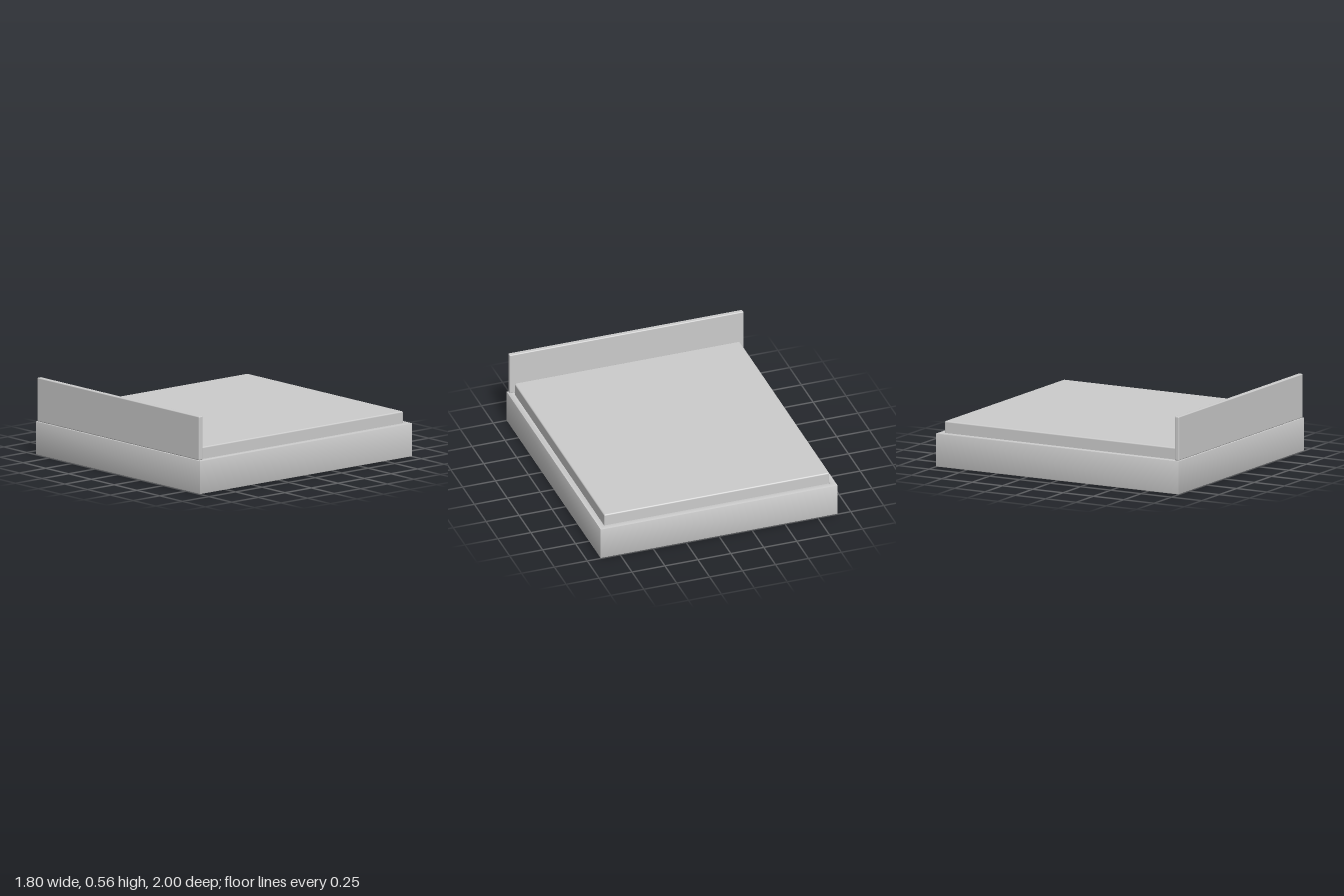
import * as THREE from 'three';
import { RoundedBoxGeometry } from 'three/addons/geometries/RoundedBoxGeometry.js';
import { toCreasedNormals } from 'three/addons/utils/BufferGeometryUtils.js';

const material = new THREE.MeshStandardMaterial({ color: 0xcccccc });

function rectangle(Path, halfW, halfD) {
  return new Path([
    new THREE.Vector2(-halfW, -halfD),
    new THREE.Vector2(halfW, -halfD),
    new THREE.Vector2(halfW, halfD),
    new THREE.Vector2(-halfW, halfD),
  ]);
}

// Rounded box given by its lower and upper corners
function roundedPart(name, min, max, radius) {
  const size = max.map((v, i) => v - min[i]);
  const mesh = new THREE.Mesh(new RoundedBoxGeometry(...size, 3, radius), material);
  mesh.position.set(...max.map((v, i) => (v + min[i]) / 2));
  mesh.name = name;
  return mesh;
}

export function createModel() {
  const group = new THREE.Group();
  group.name = 'bed';

  // Hollow rectangular frame with softened edges
  const height = 0.245, bevel = 0.006, wall = 0.045;
  const outline = rectangle(THREE.Shape, 0.9, 1);
  outline.holes.push(rectangle(THREE.Path, 0.9 - wall, 1 - wall));
  const frameGeometry = new THREE.ExtrudeGeometry(outline, {
    depth: height - 2 * bevel,
    bevelThickness: bevel,
    bevelSize: bevel,
    bevelOffset: -bevel,
    bevelSegments: 2,
  });
  frameGeometry.translate(0, 0, bevel).rotateX(-Math.PI / 2);
  const frame = new THREE.Mesh(toCreasedNormals(frameGeometry, 0.6), material);
  frame.name = 'frame';
  group.add(frame);

  // Mattress sunk into the frame
  group.add(roundedPart('mattress', [-0.855, 0.115, -0.956], [0.855, 0.33, 0.956], 0.01));

  // Headboard standing on the frame's rim
  group.add(roundedPart('headboard', [-0.888, 0.245, 0.962], [0.888, 0.565, 0.997], 0.007));

  return group;
}
